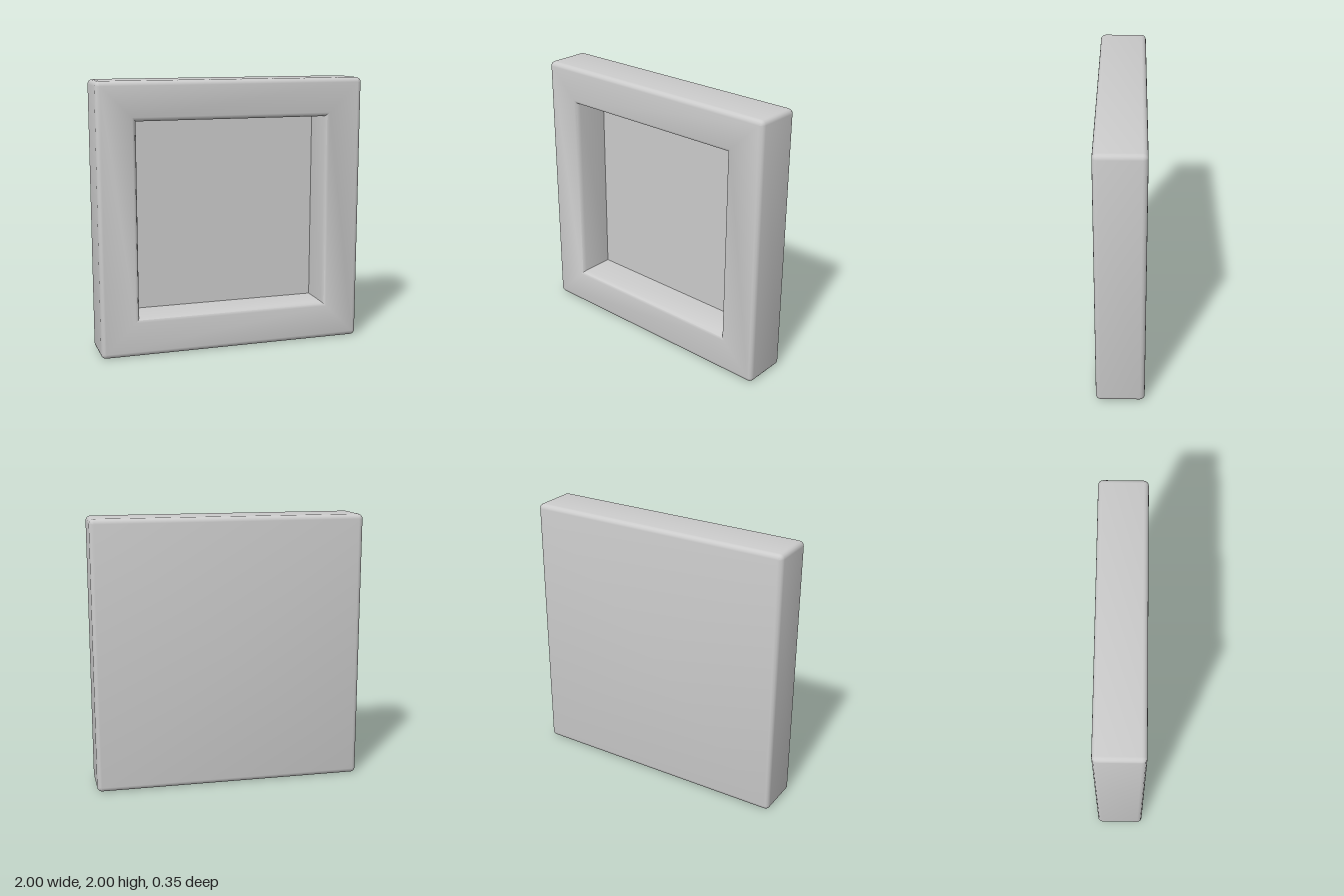
import * as THREE from 'three';
import { toCreasedNormals } from 'three/addons/utils/BufferGeometryUtils.js';

const HALF = 1, DEPTH = 0.175, ROUND = 0.035, STEPS = 4;
const CORE = HALF - ROUND;

// Square ring at depth z, counter-clockwise from the front; its corners are rounded outside the core
function ring(half, z) {
  const r = Math.max(0, half - CORE), c = half - r, points = [];
  for (let corner = 0; corner < 4; corner++) {
    const mid = Math.PI / 4 + corner * Math.PI / 2;
    const sx = Math.sign(Math.cos(mid)), sy = Math.sign(Math.sin(mid));
    for (let i = 0; i <= STEPS; i++) {
      const a = (corner + i / STEPS) * Math.PI / 2;
      points.push(new THREE.Vector3(sx * c + r * Math.cos(a), sy * c + r * Math.sin(a), z));
    }
  }
  return points;
}

// Skin neighbouring rings, leaving out triangles that collapse at sharp corners
function skin(rings) {
  const positions = [];
  const add = (a, b, c) => {
    if (new THREE.Triangle(a, b, c).getArea() < 1e-8) return;
    for (const p of [a, b, c]) positions.push(p.x, p.y, p.z);
  };
  for (let k = 0; k < rings.length - 1; k++) {
    const lower = rings[k], upper = rings[k + 1];
    for (let i = 0; i < lower.length; i++) {
      const j = (i + 1) % lower.length;
      add(lower[i], lower[j], upper[j]);
      add(lower[i], upper[j], upper[i]);
    }
  }
  const geometry = new THREE.BufferGeometry();
  geometry.setAttribute('position', new THREE.Float32BufferAttribute(positions, 3));
  return toCreasedNormals(geometry, Math.PI / 4);
}

export function createModel() {
  const group = new THREE.Group();
  group.name = 'recessedPanel';

  // Profile from the back centre, round the outside, to the centre of the recess floor
  const profile = [[0, -DEPTH]];
  for (const side of [-1, 1]) {
    for (let i = 0; i <= STEPS; i++) {
      const t = (side < 0 ? i - STEPS : i) / STEPS * Math.PI / 2;
      profile.push([CORE + ROUND * Math.cos(t), side * (DEPTH - ROUND) + ROUND * Math.sin(t)]);
    }
  }
  // Softened lip, straight recess wall and floor
  profile.push([0.745, DEPTH], [0.728, 0.168], [0.715, 0.14], [0.715, -0.105], [0, -0.105]);

  const frame = new THREE.Mesh(
    skin(profile.map(([half, z]) => ring(half, z))),
    new THREE.MeshStandardMaterial({ color: 0xcccccc })
  );
  frame.name = 'frame';
  frame.position.y = HALF;
  group.add(frame);
  return group;
}
